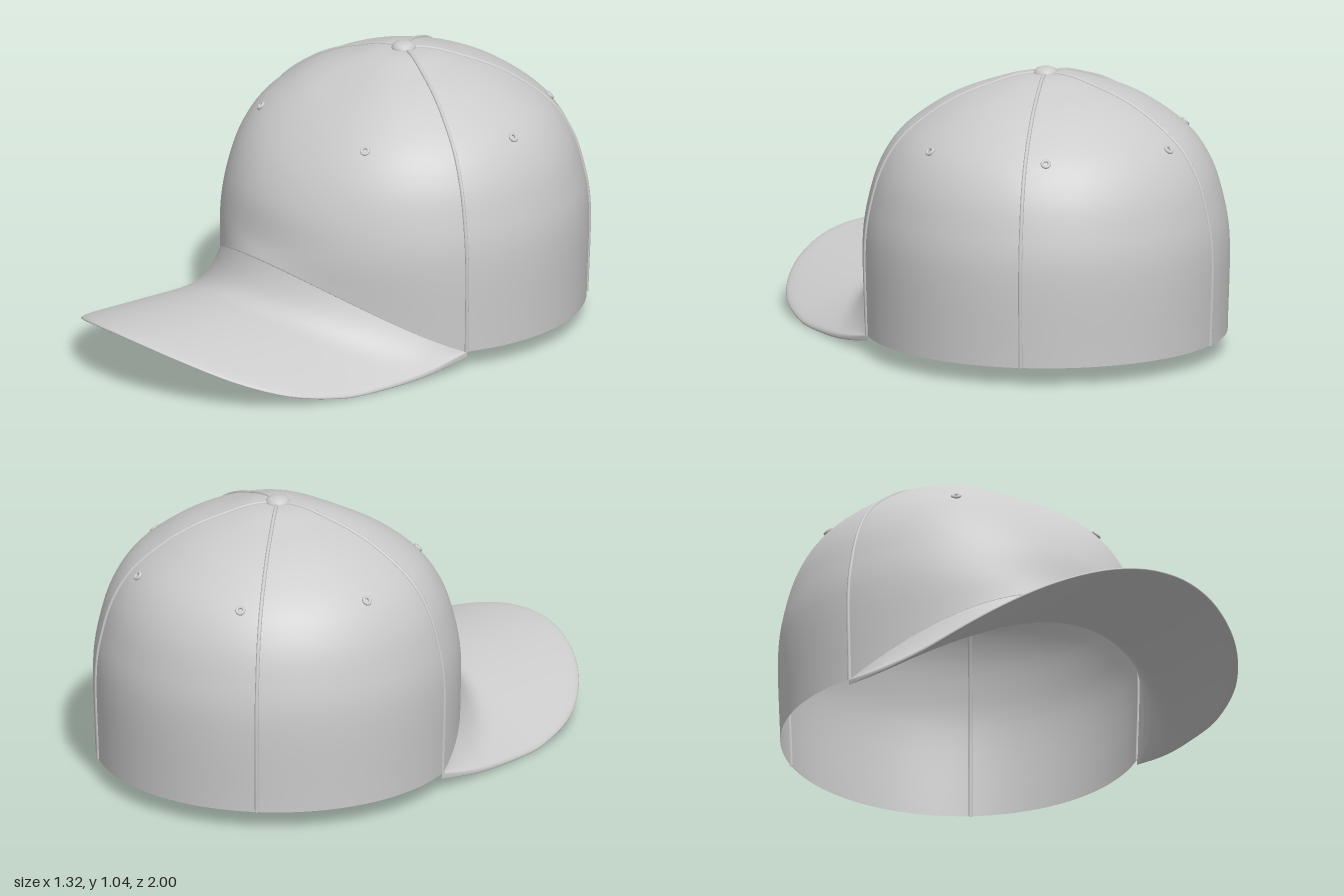
import * as THREE from 'three';
import { mergeVertices } from 'three/addons/utils/BufferGeometryUtils.js';

const CZ = -0.33;            // z of the crown's axis
const BRIM = 72;             // half angle covered by the brim, degrees
const rad = THREE.MathUtils.degToRad;
const mat = new THREE.MeshStandardMaterial({ color: 0xcccccc, side: THREE.DoubleSide });

// Crown profiles as [radius, height], from the top down
const SIDE = [[0, 1.015], [0.1, 1.008], [0.2, 0.98], [0.3, 0.945], [0.4, 0.893], [0.53, 0.79], [0.6, 0.68], [0.64, 0.55], [0.66, 0.42]];
const FRONT = [[0, 1.015], [0.1, 1.005], [0.2, 0.97], [0.3, 0.92], [0.4, 0.86], [0.5, 0.775], [0.58, 0.68], [0.64, 0.56], [0.67, 0.42]];

// Arched sheet the brim follows
const archY = (x, z) => 0.222 - 0.56 * x * x + 0.06 * Math.pow(Math.max(0, (0.4 - z) / 0.53), 1.5);

// Height by which the crown's lower edge sweeps up out of the brim
const liftAt = (deg) => 0.14 * Math.max(0, 1 - (deg / BRIM) ** 2);

// Crown section at an angle measured from the front
const cache = new Map();
function section(deg) {
  if (cache.has(deg)) return cache.get(deg);
  const a = rad(deg), s = Math.sin(a), c = Math.cos(a);
  const w = Math.pow(Math.max(0, c), 6);
  const back = Math.max(0, -c) * 0.01;
  const at = (r, y) => new THREE.Vector3(s * r, y, CZ + c * r);
  const pts = SIDE.map(([r, y], i) => at(
    THREE.MathUtils.lerp(r, FRONT[i][0], w) + back * r / 0.66,
    THREE.MathUtils.lerp(y, FRONT[i][1], w)));
  const base = at(0.655 + 0.035 * w + back * 0.7, 0.066);
  if (Math.abs(deg) <= BRIM) base.y = archY(base.x, base.z) + liftAt(deg);
  pts.push(base);
  const curve = new THREE.CatmullRomCurve3(pts);
  cache.set(deg, curve);
  return curve;
}

// Smooth sheet from a grid of points: rows run down/outward, columns run toward +x at the front
function sheet(rows, cols, point) {
  const pos = [], idx = [];
  for (let i = 0; i <= rows; i++)
    for (let j = 0; j <= cols; j++) {
      pos.push(...point(i, j).toArray());
      if (i < rows && j < cols) {
        const a = i * (cols + 1) + j, d = a + cols + 1;
        idx.push(a, d, a + 1, a + 1, d, d + 1);
      }
    }
  let g = new THREE.BufferGeometry();
  g.setAttribute('position', new THREE.Float32BufferAttribute(pos, 3));
  g.setIndex(idx);
  g = mergeVertices(g, 1e-5);
  g.computeVertexNormals();
  return g;
}

function crownGeometry() {
  return sheet(54, 180, (i, j) => section(j === 180 ? -180 : -180 + j * 2).getPoint(i / 54));
}

// Brim: upper face out to the rim, then lower face back to the crown
function brimGeometry() {
  const half = [[0.623, -0.13], [0.63, 0.05], [0.62, 0.25], [0.6, 0.45], [0.54, 0.65], [0.42, 0.82], [0.25, 0.94], [0.1, 0.99]];
  const plan = [...half.map(([x, z]) => [-x, z]), [0, 0.998], ...half.slice().reverse()];
  const outline = new THREE.CatmullRomCurve3(plan.map(([x, z]) => new THREE.Vector3(x, 0, z)));
  outline.arcLengthDivisions = 600;
  const n = 28;
  return sheet(2 * n, BRIM, (i, j) => {
    const deg = -BRIM + 2 * j;
    const inner = section(deg).getPoint(1);
    const outer = outline.getPointAt(j / BRIM);
    const k = i <= n ? i / n : (2 * n - i) / n;
    const v = k < 0.5 ? 2 * k * k : 1 - 2 * (1 - k) ** 2;
    const reach = Math.hypot(outer.x - inner.x, outer.z - inner.z);
    const x = THREE.MathUtils.lerp(inner.x, outer.x, v);
    const z = THREE.MathUtils.lerp(inner.z, outer.z, v);
    const fillet = reach < 1e-3 ? 0 : Math.pow(1 - Math.min(1, v * reach / Math.min(0.14, reach)), 3);
    const round = Math.sqrt(Math.max(0, 1 - Math.pow(v, 24)));
    const y = archY(x, z) + liftAt(deg) * fillet;
    const drop = i <= n ? 0.01 * (1 - round) : (0.01 + 0.01 * round) * Math.min(1, v * 8);
    return new THREE.Vector3(x, y - drop, z);
  });
}

// Point on the crown at a given height, with its outward normal
function onCrown(deg, height) {
  const curve = section(deg);
  let lo = 0, hi = 1;
  for (let i = 0; i < 30; i++) {
    const m = (lo + hi) / 2;
    if (curve.getPoint(m).y > height) lo = m; else hi = m;
  }
  const across = new THREE.Vector3(Math.cos(rad(deg)), 0, -Math.sin(rad(deg)));
  return { point: curve.getPoint(lo), normal: curve.getTangent(lo).cross(across).normalize() };
}

export function createModel() {
  const cap = new THREE.Group();
  cap.name = 'cap';
  const add = (name, geometry) => {
    const mesh = new THREE.Mesh(geometry, mat);
    mesh.name = name;
    cap.add(mesh);
    return mesh;
  };

  add('crown', crownGeometry());
  add('brim', brimGeometry());

  // Raised seams between the panels
  for (const deg of [-144, -72, 72, 144])
    add('seam', new THREE.TubeGeometry(section(deg), 80, 0.007, 8));

  // Ventilation eyelets
  for (const side of [-1, 1])
    for (const deg of [36, 100, 152]) {
      const { point, normal } = onCrown(side * deg, 0.793);
      const ring = add('eyelet', new THREE.TorusGeometry(0.013, 0.006, 10, 24));
      ring.position.copy(point).addScaledVector(normal, 0.003);
      ring.quaternion.setFromUnitVectors(new THREE.Vector3(0, 0, 1), normal);
    }

  // Button on top
  const dome = [[0, 0.022], [0.02, 0.021], [0.034, 0.016], [0.043, 0.006], [0.046, -0.004], [0.042, -0.012]];
  const button = add('topButton', new THREE.LatheGeometry(dome.reverse().map(([x, y]) => new THREE.Vector2(x, y)), 32));
  button.position.set(0, 1.013, CZ);

  return cap;
}
